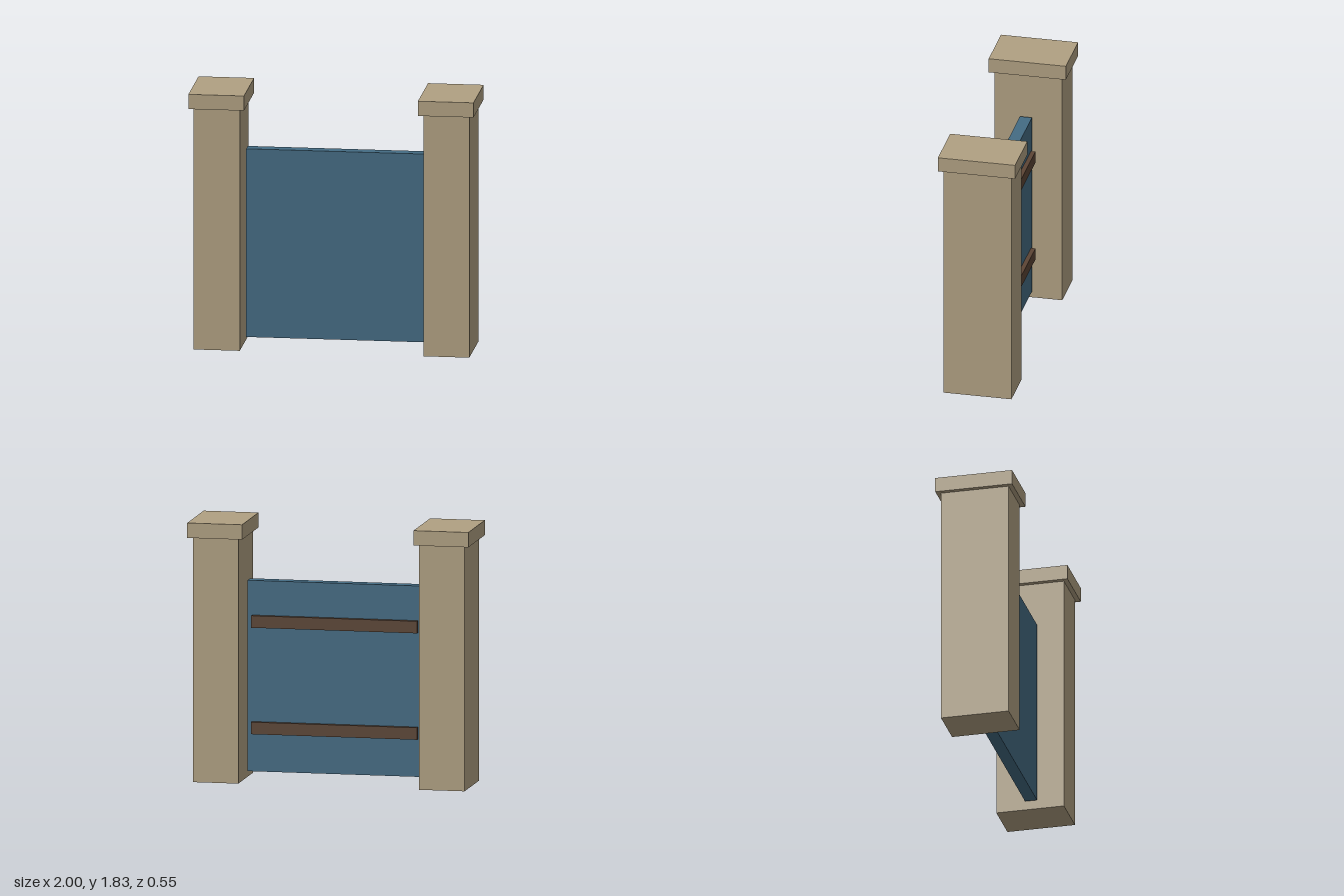
import * as THREE from 'three';

function material(name, color) {
  const m = new THREE.MeshStandardMaterial({ color });
  m.name = name;
  return m;
}

export function createModel() {
  const stone = material('sandstone', 0xb0a082);
  const paint = material('blue paint', 0x446b83);
  const wood = material('dark wood', 0x5c4535);

  const model = new THREE.Group();
  model.name = 'gate';

  // Box given by its size, centre x and z, and the height of its underside
  function box(name, mat, [w, h, d], x, bottom, z, parent = model) {
    const mesh = new THREE.Mesh(new THREE.BoxGeometry(w, h, d), mat);
    mesh.name = name;
    mesh.position.set(x, bottom + h / 2, z);
    parent.add(mesh);
  }

  // Capped pillars on both sides
  for (const [side, label] of [[1, 'left'], [-1, 'right']]) {
    const pillar = new THREE.Group();
    pillar.name = `${label}Pillar`;
    pillar.position.x = side * 0.805;
    box('pillarShaft', stone, [0.323, 1.725, 0.484], 0, 0, 0, pillar);
    box('pillarCap', stone, [0.39, 0.105, 0.55], 0, 1.725, 0, pillar);
    model.add(pillar);
  }

  // Gate panel hanging clear of the ground
  box('gatePanel', paint, [1.245, 1.345, 0.086], 0, 0.056, 0.012);

  // Battens across the back of the panel
  box('lowerBatten', wood, [1.18, 0.085, 0.033], 0, 0.322, -0.0465);
  box('upperBatten', wood, [1.18, 0.085, 0.033], 0, 1.072, -0.0465);

  return model;
}
